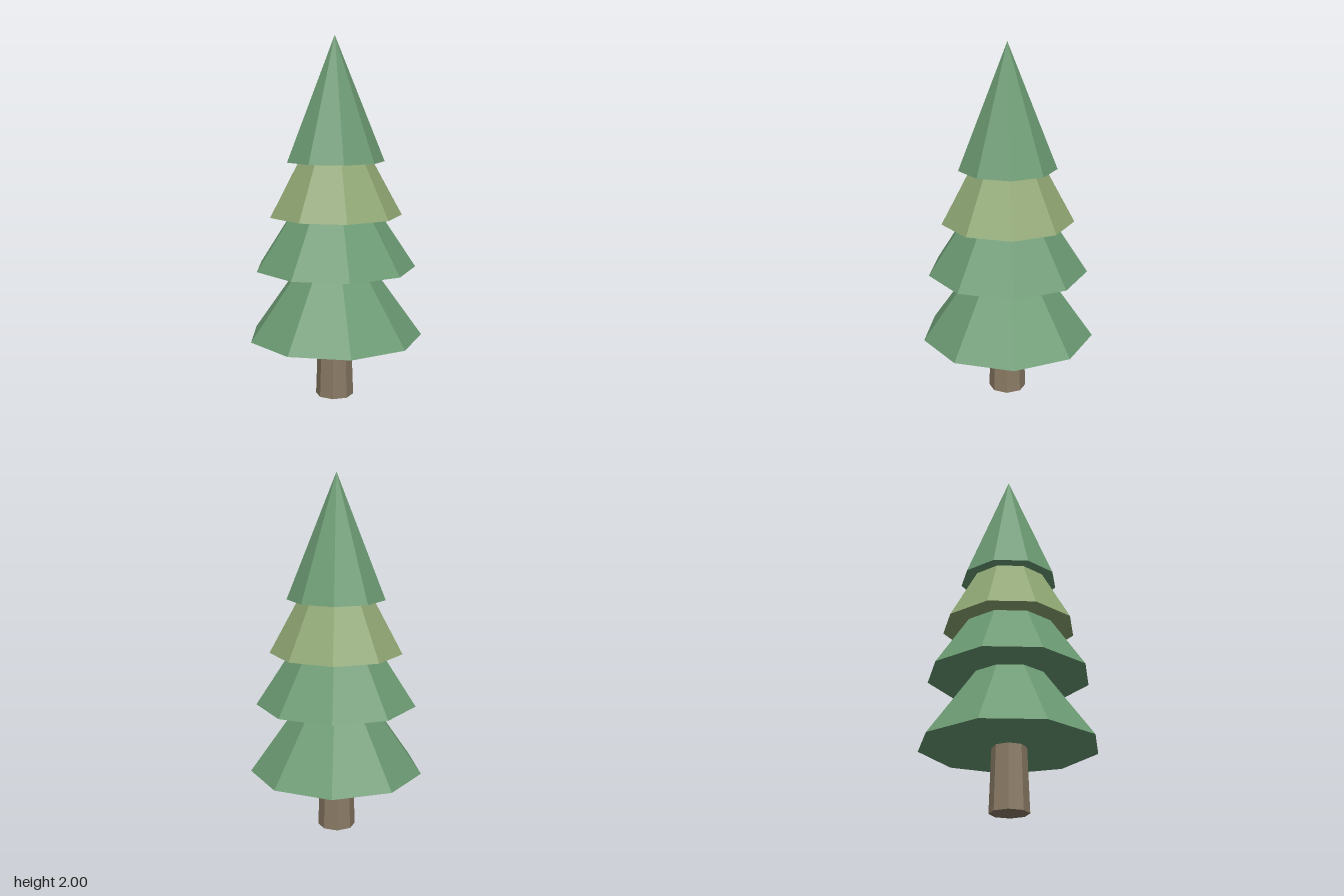
import * as THREE from 'three';

const CENTRE_Z = 0.013;

function makeMaterial(color) {
  return new THREE.MeshStandardMaterial({ color, flatShading: true });
}

export function createModel() {
  const tree = new THREE.Group();
  tree.name = 'pineTree';

  const green = makeMaterial(0x6b9972);
  const olive = makeMaterial(0x8fa673);
  const brown = makeMaterial(0x8a7a64);

  // Tapered eight-sided trunk, ending just inside the lowest tier
  const trunkHeight = 0.38;
  const trunk = new THREE.Mesh(new THREE.CylinderGeometry(0.092, 0.106, trunkHeight, 8), brown);
  trunk.name = 'trunk';
  trunk.position.set(0, trunkHeight / 2, CENTRE_Z + 0.002);
  tree.add(trunk);

  // Four nested nine-sided cones, each with one corner pointing to the back
  const tierHeight = 0.678;
  const tiers = [
    { name: 'bottomTier', y: 0.345, radius: 0.486, material: green },
    { name: 'lowerMiddleTier', y: 0.735, radius: 0.448, material: green },
    { name: 'upperMiddleTier', y: 1.027, radius: 0.37, material: olive },
    { name: 'topTier', y: 1.322, radius: 0.273, material: green },
  ];
  for (const { name, y, radius, material } of tiers) {
    const tier = new THREE.Mesh(new THREE.ConeGeometry(radius, tierHeight, 9), material);
    tier.name = name;
    tier.position.set(0, y + tierHeight / 2, CENTRE_Z);
    tier.rotation.y = Math.PI;
    tree.add(tier);
  }

  return tree;
}
